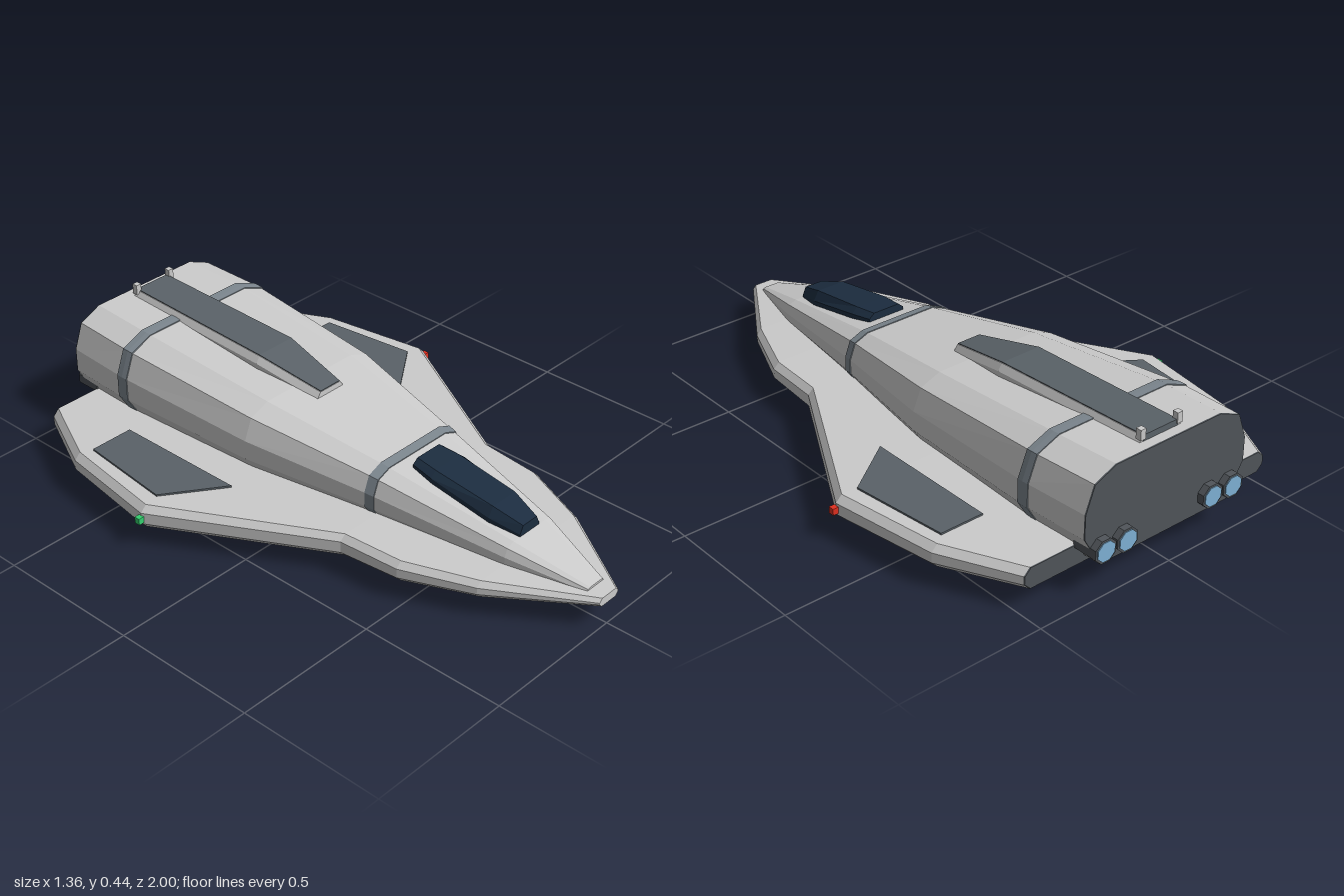
import * as THREE from 'three';

const mat = (color) => new THREE.MeshStandardMaterial({ color, flatShading: true, side: THREE.DoubleSide });
const hull = mat(0xcccccc), dark = mat(0x50555a), panel = mat(0x5a6268), band = mat(0x7c868e);
const glass = mat(0x1c2d40), glow = mat(0x7fb2d6), belly = mat(0x3c3f44), red = mat(0xe03020), green = mat(0x35d070);

// Skin mirrored half sections, each { z, pts: [[x, y], ...] } from bottom to top, ordered front to back
function loft(name, sections, material) {
  const rings = sections.map(({ z, pts }) => [
    ...pts.map(([x, y]) => [x, y, z]),
    ...[...pts].reverse().map(([x, y]) => [-x, y, z]),
  ]);
  const pos = [], n = rings[0].length;
  const tri = (...c) => c.forEach((p) => pos.push(...p));
  for (let i = 0; i < rings.length - 1; i++) {
    const f = rings[i], b = rings[i + 1];
    for (let j = 0; j < n; j++) {
      const k = (j + 1) % n;
      tri(b[j], b[k], f[j]);
      tri(b[k], f[k], f[j]);
    }
  }
  const first = rings[0], last = rings[rings.length - 1];
  for (let j = 1; j < n - 1; j++) {
    tri(first[0], first[j], first[j + 1]);
    tri(last[0], last[j + 1], last[j]);
  }
  const geo = new THREE.BufferGeometry();
  geo.setAttribute('position', new THREE.Float32BufferAttribute(pos, 3));
  geo.computeVertexNormals();
  const mesh = new THREE.Mesh(geo, material);
  mesh.name = name;
  return mesh;
}

// Chamfered slab section
const slab = (z, w, y0, y1, c) => ({ z, pts: [[w - c, y0], [w, y0 + c], [w, y1 - c], [w - c, y1]] });

// Fuselage stations: z, half width, bottom, top
const BODY = [
  [0.95, 0.04, 0.09, 0.12], [0.7, 0.115, 0.09, 0.187], [0.23, 0.205, 0.09, 0.278],
  [-0.2, 0.295, 0.09, 0.345], [-0.73, 0.33, 0.09, 0.393], [-0.97, 0.32, 0.09, 0.402],
];
const bodySection = ([z, w, y0, y1], grow = 0) => ({
  z,
  pts: [[0.8, 0], [1, 0.35], [1, 0.61], [0.9, 0.89], [0.65, 1]]
    .map(([u, v]) => [u * (w + grow), y0 + v * (y1 + grow - y0)]),
});
function bodyAt(z) {
  let i = 0;
  while (i < BODY.length - 2 && z < BODY[i + 1][0]) i++;
  const a = BODY[i], b = BODY[i + 1], t = (z - a[0]) / (b[0] - a[0]);
  return a.map((v, k) => v + (b[k] - v) * t);
}

function box(name, size, x, y, z, material) {
  const m = new THREE.Mesh(new THREE.BoxGeometry(...size), material);
  m.name = name;
  m.position.set(x, y, z);
  return m;
}

export function createModel() {
  const ship = new THREE.Group();
  ship.name = 'spaceship';

  // Wing slab running from nose to tail, with a dark rear face
  const wing = [
    [1, 0.045, 0.08, 0.11, 0.012], [0.7, 0.24, 0.066, 0.125, 0.018], [0.47, 0.335, 0.06, 0.132, 0.02],
    [0.26, 0.352, 0.057, 0.136, 0.02], [-0.29, 0.66, 0.057, 0.14, 0.022], [-0.66, 0.607, 0.062, 0.14, 0.022],
    [-0.91, 0.485, 0.068, 0.14, 0.022],
  ];
  ship.add(loft('wing', wing.map((s) => slab(...s)), hull));
  ship.add(loft('wingRearFace', [slab(-0.91, 0.485, 0.068, 0.14, 0.022), slab(-0.913, 0.483, 0.069, 0.139, 0.022)], dark));

  // Fuselage, rear plate and painted bands
  ship.add(loft('fuselage', BODY.map((s) => bodySection(s)), hull));
  const tail = BODY[BODY.length - 1];
  ship.add(loft('rearPlate', [bodySection(tail), bodySection([-0.974, ...tail.slice(1)], -0.001)], dark));
  for (const [name, zs] of [['frontBand', [0.258, 0.23, 0.226]], ['rearBand', [-0.71, -0.73, -0.752]]]) {
    ship.add(loft(name, zs.map((z) => bodySection(bodyAt(z), 0.003)), band));
  }

  // Canopy
  const canopy = [
    [0.7, 0.045, 0.17, 0.195, 0.222], [0.6, 0.072, 0.18, 0.222, 0.254],
    [0.38, 0.079, 0.22, 0.265, 0.284], [0.3, 0.07, 0.23, 0.275, 0.291],
  ].map(([z, w, y0, ym, y1]) => ({ z, pts: [[w, y0], [w, ym], [w * 0.72, y1]] }));
  ship.add(loft('canopy', canopy, glass));

  // Dorsal spine with dark inset
  const spine = [[-0.11, 0.06, 0.3, 0.35], [-0.35, 0.09, 0.33, 0.398], [-0.935, 0.085, 0.36, 0.418]];
  ship.add(loft('spineFrame', spine.map(([z, w, y0, y1]) => ({ z, pts: [[w, y0], [w, y1 - 0.022], [w - 0.015, y1]] })), hull));
  ship.add(loft('spineInset', spine.map(([z, w, , y1]) => ({ z: z - 0.001, pts: [[w - 0.016, y1 - 0.02], [w - 0.017, y1 + 0.003]] })), panel));

  // Belly plate
  ship.add(loft('bellyPlate', [
    slab(0.45, 0.09, 0.034, 0.08, 0.008), slab(0.2, 0.185, 0.024, 0.08, 0.01), slab(-0.7, 0.205, 0.022, 0.08, 0.01),
  ], belly));

  for (const s of [1, -1]) {
    // Wing inset panels
    const shape = new THREE.Shape([[0.395, 0.635], [0.55, 0.635], [0.587, 0.298], [0.395, 0.163]]
      .map(([x, z]) => new THREE.Vector2(s * x, z)));
    const inset = new THREE.Mesh(new THREE.ExtrudeGeometry(shape, { depth: 0.016, bevelEnabled: false }), panel);
    inset.name = 'wingPanel';
    inset.rotation.x = -Math.PI / 2;
    inset.position.y = 0.13;
    ship.add(inset);

    // Paired engine nozzles
    for (const x of [0.172, 0.257]) {
      for (const [name, r, len, z, m] of [['engineHousing', 0.041, 0.09, -0.952, dark], ['engineGlow', 0.034, 0.01, -0.995, glow]]) {
        const geo = new THREE.CylinderGeometry(r, r, len, 8);
        geo.rotateY(Math.PI / 8).rotateX(Math.PI / 2).scale(1.04, 1, 1);
        const nozzle = new THREE.Mesh(geo, m);
        nozzle.name = name;
        nozzle.position.set(s * x, 0.147, z);
        ship.add(nozzle);
      }
    }

    // Wingtip lights, tail posts and belly sensors
    ship.add(box('wingtipLight', [0.02, 0.022, 0.02], s * 0.668, 0.098, -0.29, s > 0 ? red : green));
    ship.add(box('tailPost', [0.02, 0.035, 0.02], s * 0.073, 0.426, -0.93, hull));
    ship.add(box('bellySensor', [0.02, 0.03, 0.02], s * 0.17, 0.015, -0.2, hull));
  }
  return ship;
}
